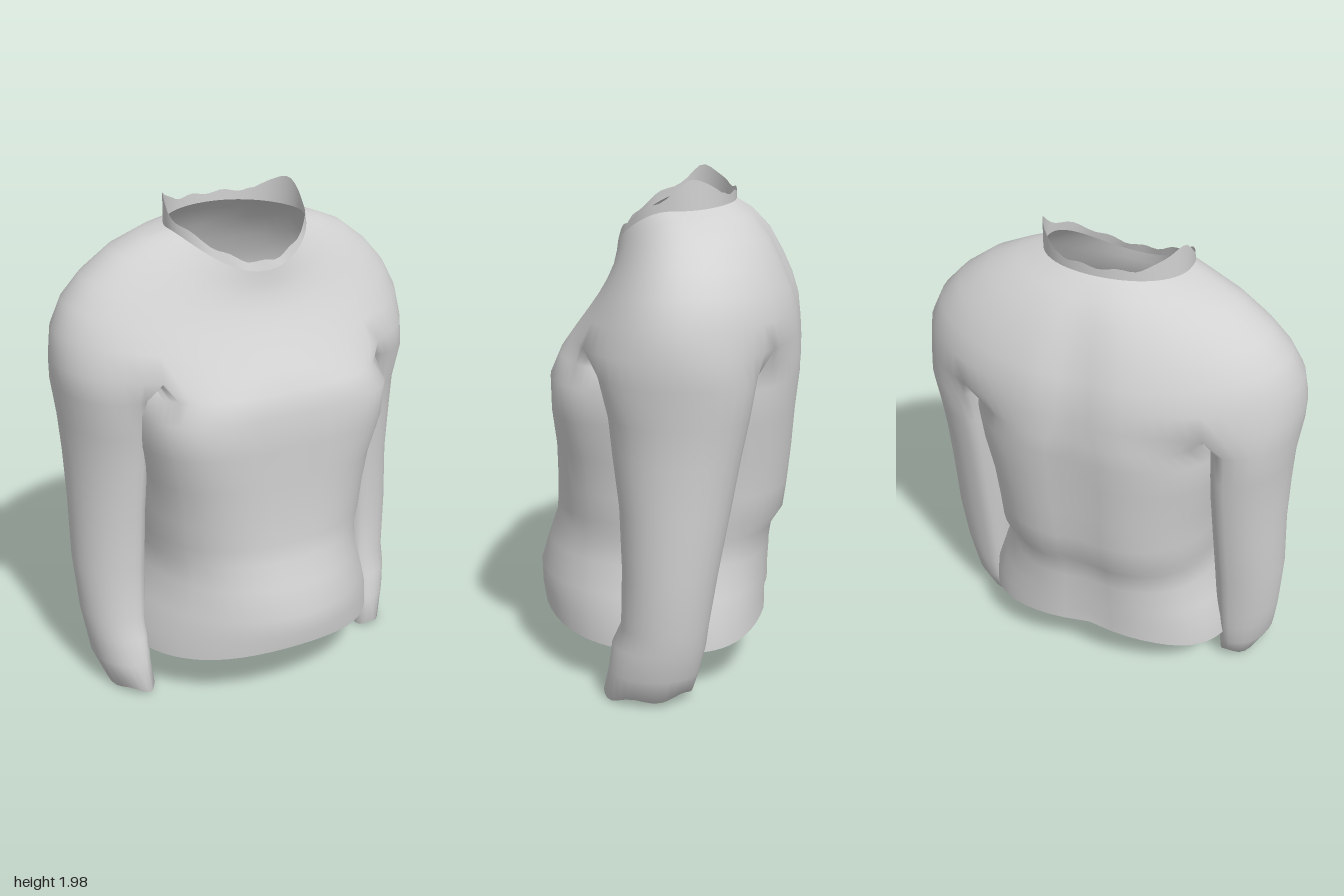
import * as THREE from 'three';

const SEG = 16; // segments per quarter: left arm, front, right arm, back
const N = SEG * 4;

// signed power, for superellipse sections
const pow = (v, e) => Math.sign(v) * Math.abs(v) ** e;

// ring angle for point i, with the armpits at angle A from the x axis
function ringAngle(i, A) {
  const starts = [-A, A, Math.PI - A, Math.PI + A, 2 * Math.PI - A];
  const q = Math.floor(i / SEG), t = (i % SEG) / SEG;
  return starts[q] + (starts[q + 1] - starts[q]) * t;
}

export function createModel() {
  const group = new THREE.Group();
  const cloth = new THREE.MeshStandardMaterial({ color: 0xd2d2d2, side: THREE.DoubleSide });
  cloth.name = 'grey cloth';

  const pos = [];
  const addPoint = (x, y, z) => pos.push(x, y, z) / 3 - 1;
  const makeRing = (n, fn) => Array.from({ length: n }, (_, i) => addPoint(...fn(i)));

  // stitch a list of closed rings, top to bottom
  function stitch(rings) {
    const index = [];
    for (let r = 0; r + 1 < rings.length; r++) {
      const a = rings[r], b = rings[r + 1], n = a.length;
      for (let i = 0; i < n; i++) {
        const j = (i + 1) % n;
        index.push(a[i], a[j], b[i], a[j], b[j], b[i]);
      }
    }
    return index;
  }

  // one body section: half width, front and back z, centre z, roundness front and back, spine groove depth
  function section(a, w, zf, zb, zc, ef, eb, groove) {
    const c = Math.cos(a), s = Math.sin(a);
    const front = s > 0, e = front ? ef : eb;
    const x = w * pow(c, e);
    let z = zc + (front ? zf - zc : zc - zb) * pow(s, e);
    if (!front) z += groove * Math.exp(-((x / 0.1) ** 2));
    return [x, z, s];
  }

  // yoke: half width, side y, front z, front y, back z, back y, centre z, spine groove
  const yokeRows = [
    [0.29, 1.88, 0.195, 1.735, -0.27, 1.895, -0.05, 0],
    [0.38, 1.855, 0.2, 1.69, -0.345, 1.845, -0.08, 0.005],
    [0.5, 1.805, 0.21, 1.64, -0.415, 1.765, -0.1, 0.015],
    [0.62, 1.715, 0.235, 1.585, -0.465, 1.67, -0.11, 0.02],
    [0.7, 1.625, 0.27, 1.525, -0.505, 1.58, -0.11, 0.025],
    [0.75, 1.52, 0.315, 1.46, -0.53, 1.5, -0.1, 0.025],
    [0.765, 1.4, 0.37, 1.385, -0.54, 1.41, -0.09, 0.025],
  ];
  const yoke = yokeRows.map(([w, yS, zf, yF, zb, yB, zc, groove]) => makeRing(N, (i) => {
    const [x, z, s] = section(ringAngle(i, 0.9), w, zf, zb, zc, 1, 0.98, groove);
    return [x, yS + ((s > 0 ? yF : yB) - yS) * s * s, z];
  }));
  const yokeEnd = yoke[yoke.length - 1];

  // underarm bridges split the lowest yoke ring into torso and sleeves
  const torsoTop = yokeEnd.slice();
  for (const start of [0, 2 * SEG]) {
    const p = yokeEnd[start] * 3, q = yokeEnd[start + SEG] * 3;
    for (let i = 1; i < SEG; i++) {
      const t = i / SEG, mix = (k) => pos[p + k] * (1 - t) + pos[q + k] * t;
      torsoTop[start + i] = addPoint(mix(0), mix(1) - 0.04 * Math.sin(Math.PI * t), mix(2));
    }
  }

  // torso: y, half width, front z, back z, front roundness
  const torsoRows = [
    [1.32, 0.525, 0.415, -0.545, 0.7],
    [1.24, 0.54, 0.445, -0.545, 0.57],
    [1.1, 0.525, 0.445, -0.53, 0.58],
    [0.95, 0.49, 0.437, -0.52, 0.66],
    [0.8, 0.475, 0.44, -0.505, 0.74],
    [0.69, 0.47, 0.445, -0.49, 0.8],
    [0.62, 0.455, 0.455, -0.445, 0.84],
    [0.52, 0.46, 0.49, -0.43, 0.89],
    [0.4, 0.5, 0.527, -0.425, 0.96],
    [0.3, 0.535, 0.525, -0.42, 1.0],
    [0.2, 0.545, 0.515, -0.42, 1.0],
  ];
  const torso = [torsoTop, ...torsoRows.map(([y, w, zf, zb, ef], r) => makeRing(N, (i) => {
    const [x, z, s] = section(ringAngle(i, r ? 0.63 : 0.72), w, zf, zb, -0.02, ef, 0.75, 0.025);
    const lift = y < 0.35 ? (0.35 - y) * 0.4 * s ** 4 : 0; // hem rises front and back
    return [x, y + lift, z];
  }))];

  // sleeve: y, inner x, outer x, front z, back z
  const sleeveRows = [
    [1.3, 0.43, 0.758, 0.205, -0.385],
    [1.15, 0.43, 0.738, 0.17, -0.36],
    [1.0, 0.435, 0.73, 0.155, -0.33],
    [0.8, 0.445, 0.725, 0.13, -0.295],
    [0.55, 0.455, 0.73, 0.12, -0.25],
    [0.33, 0.465, 0.715, 0.125, -0.215],
    [0.25, 0.47, 0.705, 0.16, -0.205],
    [0.14, 0.475, 0.69, 0.175, -0.18],
    [0.04, 0.475, 0.65, 0.198, -0.15],
    [0.05, 0.51, 0.615, 0.15, -0.11], // turned-in cuff
  ];
  function sleeve(side) {
    const start = side > 0 ? 0 : 2 * SEG, open = 1.75;
    const top = [];
    for (let i = 0; i < SEG; i++) top.push(yokeEnd[start + i]);
    for (let i = SEG; i > 0; i--) top.push(torsoTop[start + i]);
    const rings = sleeveRows.map(([y, xi, xo, zf, zb]) => makeRing(2 * SEG, (i) => {
      const t = (i % SEG) / SEG;
      const phi = i < SEG ? -open + 2 * open * t : open + 2 * (Math.PI - open) * t;
      const c = side * Math.cos(phi), s = side * Math.sin(phi);
      const out = side * c; // deepest part sits close to the body, outside tapers
      const xc = xi + (xo - xi) * 0.33;
      const x = side * (xc + (out > 0 ? xo - xc : xc - xi) * out);
      const z = (zf + zb) / 2 + (zf - zb) / 2 * s;
      const ragged = y < 0.1 ? 0.01 * Math.sin(5 * phi) - 0.014 * s : 0;
      return [x, y + ragged, z];
    }));
    return [top, ...rings];
  }

  // indices per part over shared points, so normals run smoothly across seams
  const parts = {
    yoke: stitch(yoke),
    torso: stitch(torso),
    leftSleeve: stitch(sleeve(1)),
    rightSleeve: stitch(sleeve(-1)),
  };
  const whole = new THREE.BufferGeometry();
  whole.setAttribute('position', new THREE.Float32BufferAttribute(pos, 3));
  whole.setIndex(Object.values(parts).flat());
  whole.computeVertexNormals();

  function addMesh(name, attributes, index) {
    const g = new THREE.BufferGeometry();
    g.setAttribute('position', attributes.position);
    g.setAttribute('normal', attributes.normal);
    g.setIndex(index);
    const mesh = new THREE.Mesh(g, cloth);
    mesh.name = name;
    group.add(mesh);
  }
  for (const [name, index] of Object.entries(parts)) addMesh(name, whole.attributes, index);

  // collar: upright band, peaked at the sides and low at the front
  const collarPos = [], collarRings = [[], []];
  for (let i = 0; i < N; i++) {
    const k = yoke[0][i] * 3, s = Math.sin(ringAngle(i, 0.9));
    const h = 0.035 + 0.085 * Math.exp(-(((s + 0.35) / 0.34) ** 2)) + 0.006 * Math.sin(i * 1.1);
    const flare = 1 - 0.05 * Math.max(0, s);
    collarRings[1].push(collarPos.push(pos[k], pos[k + 1], pos[k + 2]) / 3 - 1);
    collarRings[0].push(collarPos.push(pos[k] * flare, pos[k + 1] + h, pos[k + 2] * flare) / 3 - 1);
  }
  const collar = new THREE.BufferGeometry();
  collar.setAttribute('position', new THREE.Float32BufferAttribute(collarPos, 3));
  const collarIndex = stitch(collarRings);
  collar.setIndex(collarIndex);
  collar.computeVertexNormals();
  addMesh('collar', collar.attributes, collarIndex);

  return group;
}
